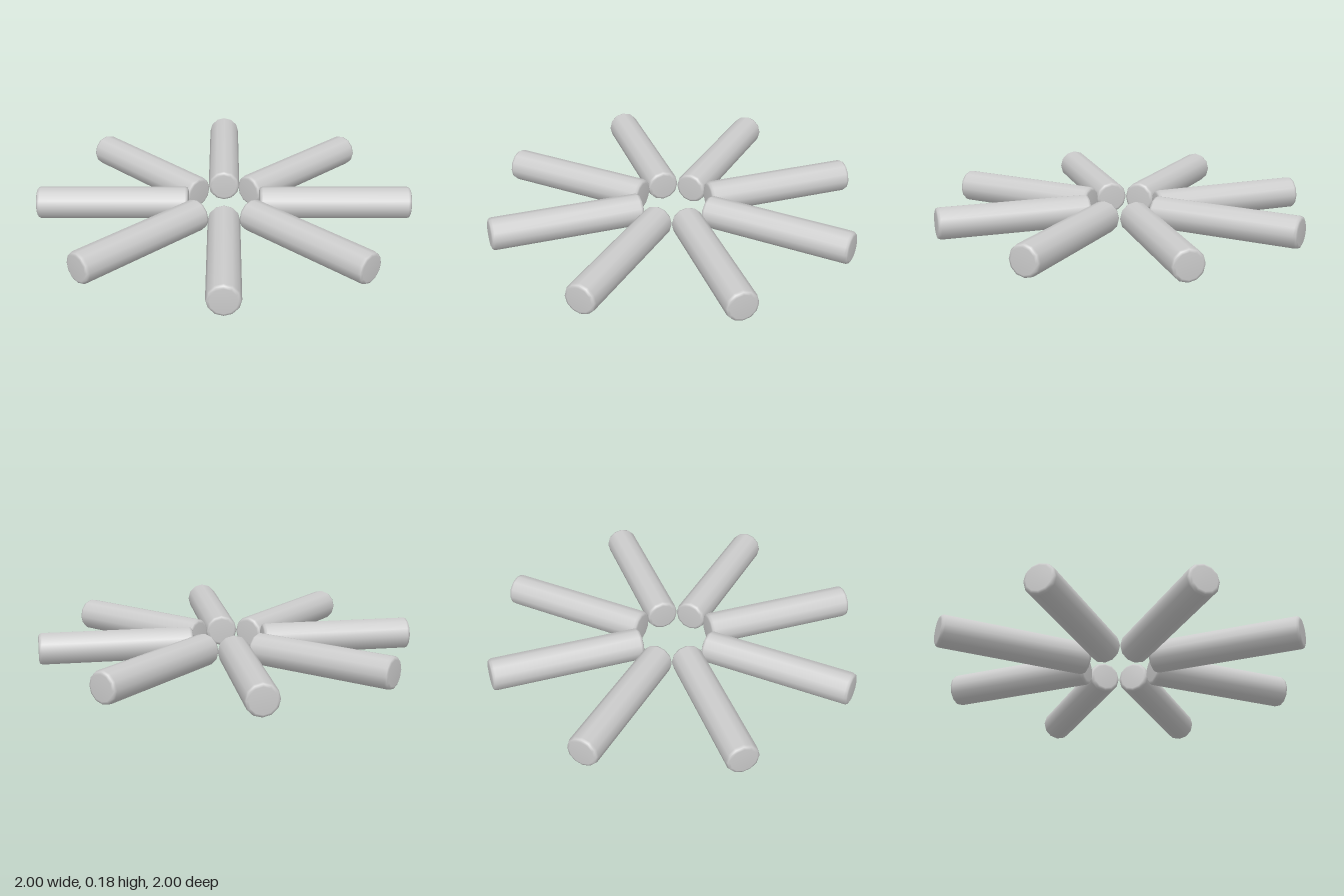
import * as THREE from 'three';

const RADIUS = 0.085, INNER = 0.19, OUTER = 1.0, BEVEL = 0.018;

// Round bar with softened rims, lying along +z and centred on its own middle
function rodGeometry() {
  const h = (OUTER - INNER) / 2, r = RADIUS, b = BEVEL;
  const profile = [
    [0, -h], [r - b, -h], [r - b * 0.3, -h + b * 0.3], [r, -h + b],
    [r, h - b], [r - b * 0.3, h - b * 0.3], [r - b, h], [0, h],
  ].map(([x, y]) => new THREE.Vector2(x, y));
  return new THREE.LatheGeometry(profile, 12).rotateX(Math.PI / 2);
}

export function createModel() {
  const model = new THREE.Group();
  model.name = 'radialRods';
  const material = new THREE.MeshStandardMaterial({ color: 0xcccccc });
  const geometry = rodGeometry();

  // Eight rods around an open centre, counted from the front towards +x
  for (let i = 0; i < 8; i++) {
    const spoke = new THREE.Group();
    spoke.name = `spoke${i + 1}`;
    spoke.rotation.y = (i * Math.PI) / 4;
    const rod = new THREE.Mesh(geometry, material);
    rod.name = `rod${i + 1}`;
    rod.position.set(0, 0.1, (INNER + OUTER) / 2);
    // Slight unevenness: one rod turned a little, the back one dipping inward
    if (i === 2) rod.rotation.y = -0.01;
    if (i === 4) {
      rod.rotation.x = -0.014;
      rod.position.y = 0.095;
    }
    spoke.add(rod);
    model.add(spoke);
  }
  return model;
}
